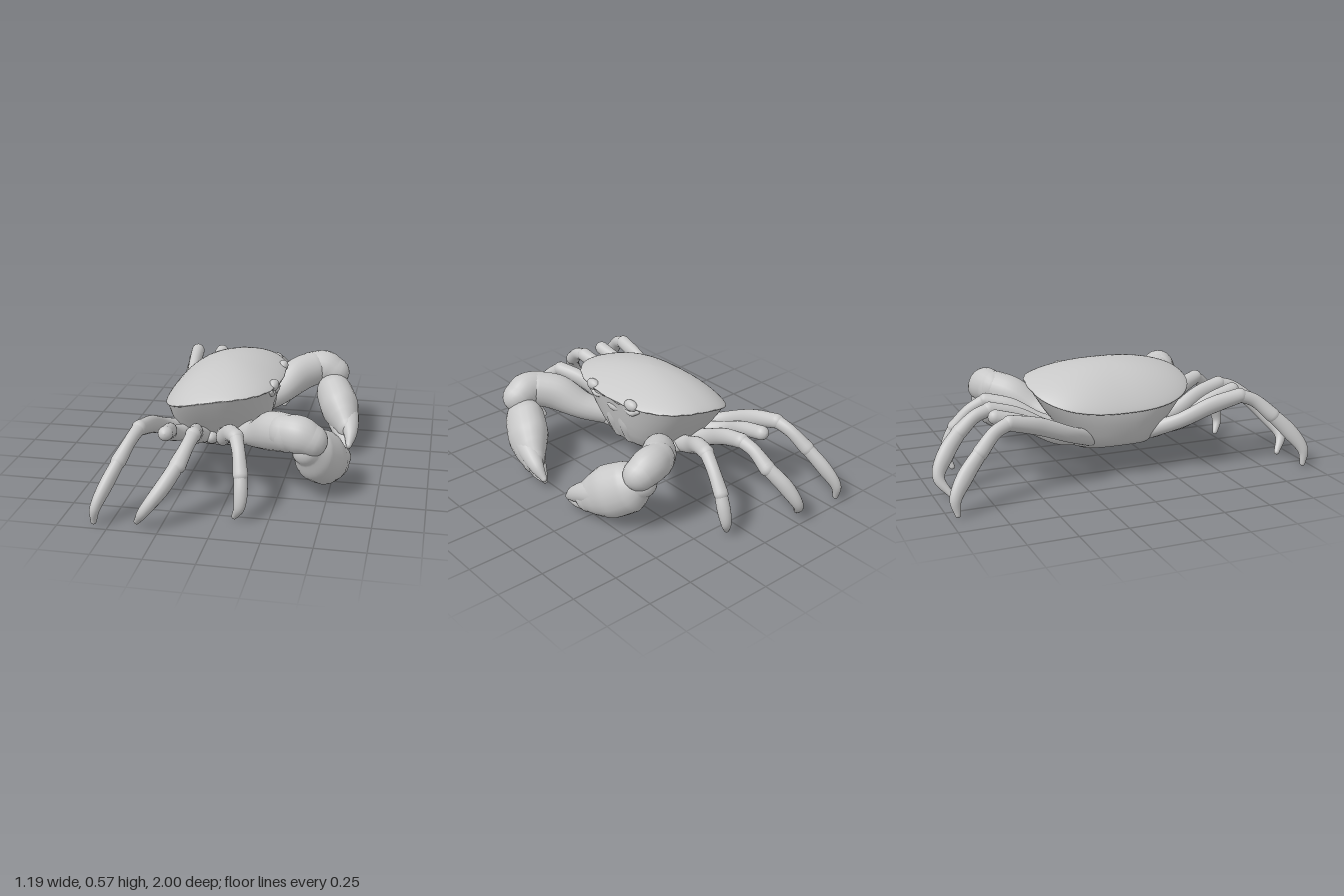
import * as THREE from 'three';

const V = (p) => new THREE.Vector3(p[0], p[1], p[2]);

// Skin a list of closed rings (all the same length) into one smooth surface.
function loft(rings) {
  const n = rings[0].length, pos = [], idx = [];
  rings.forEach((r) => r.forEach((p) => pos.push(p.x, p.y, p.z)));
  for (let i = 0; i < rings.length - 1; i++) {
    for (let j = 0; j < n; j++) {
      const k = (j + 1) % n;
      const a = i * n + j, b = i * n + k, c = a + n, d = b + n;
      idx.push(a, b, d, a, d, c);
    }
  }
  const g = new THREE.BufferGeometry();
  g.setAttribute('position', new THREE.Float32BufferAttribute(pos, 3));
  g.setIndex(idx);
  g.computeVertexNormals();
  return g;
}

// Rounded-end limb. Each point is [x, y, z, radius along ref, radius across].
function limb(points, ref, sides = 20, steps = 8) {
  const path = new THREE.CatmullRomCurve3(points.map(V));
  const radii = new THREE.CatmullRomCurve3(points.map((p) => new THREE.Vector3(p[3], p[4] ?? p[3], 0)));
  const rings = [];
  const ring = (t, scale, push) => {
    const c = path.getPoint(t), dir = path.getTangent(t), r = radii.getPoint(t);
    const u = ref.clone().addScaledVector(dir, -ref.dot(dir)).normalize();
    const v = dir.clone().cross(u);
    c.addScaledVector(dir, push * Math.min(r.x, r.y));
    rings.push(Array.from({ length: sides }, (_, j) => {
      const a = (j / sides) * Math.PI * 2;
      return c.clone().addScaledVector(u, r.x * scale * Math.cos(a)).addScaledVector(v, r.y * scale * Math.sin(a));
    }));
  };
  const n = (points.length - 1) * steps, cap = 5;
  for (let k = 0; k < cap; k++) { const a = (k / cap) * Math.PI / 2; ring(0, Math.sin(a), -Math.cos(a)); }
  for (let i = 0; i <= n; i++) ring(i / n, 1, 0);
  for (let k = cap - 1; k >= 0; k--) { const a = (k / cap) * Math.PI / 2; ring(1, Math.sin(a), Math.cos(a)); }
  return loft(rings);
}

// Rounded-rectangle body ring; height(s) runs from back (s = -1) to front (s = 1).
function bodyRing(xBack, xFront, rz, height, scale = 1, ripple = 0) {
  const e = 2 / 2.5, cx = (xBack + xFront) / 2, rx = (xFront - xBack) / 2;
  const pw = (v) => Math.sign(v) * Math.pow(Math.abs(v), e) * scale;
  return Array.from({ length: 96 }, (_, j) => {
    const a = (j / 96) * Math.PI * 2, s = pw(Math.sin(a)), c = pw(Math.cos(a));
    const k = 1 + ripple * Math.cos(a * 24) * (s > -0.3 ? 1 : 0);
    return new THREE.Vector3(cx + rx * s * k, height(s), rz * c * k);
  });
}
const slope = (back, front, arch = 0) => (s) => back + (front - back) * (s + 1) / 2 + arch * (1 - s * s);

export function createModel() {
  const model = new THREE.Group();
  const grey = new THREE.MeshStandardMaterial({ color: 0xc8c8c8 });
  grey.name = 'shell grey';
  const X = new THREE.Vector3(1, 0, 0), Y = new THREE.Vector3(0, 1, 0);
  const add = (name, geo, parent = model) => {
    const m = new THREE.Mesh(geo, grey);
    m.name = name;
    parent.add(m);
    return m;
  };
  const blob = (name, p, s, parent = model) => {
    const m = add(name, new THREE.SphereGeometry(1, 20, 14), parent);
    m.position.set(...p);
    m.scale.set(...s);
  };

  // Underside: shallow breastplate flaring up to the shell edge
  const plate = slope(0.172, 0.18, -0.032);
  add('underbody', loft([
    bodyRing(-0.35, 0.07, 0.2, plate, 0),
    bodyRing(-0.35, 0.07, 0.2, plate, 0.5),
    bodyRing(-0.35, 0.07, 0.2, plate),
    bodyRing(-0.37, 0.1, 0.235, slope(0.195, 0.205, -0.025)),
    bodyRing(-0.39, 0.13, 0.285, slope(0.245, 0.27, -0.01)),
    bodyRing(-0.405, 0.155, 0.345, slope(0.305, 0.35)),
    bodyRing(-0.41, 0.172, 0.395, slope(0.345, 0.425, 0.02)),
    bodyRing(-0.41, 0.185, 0.425, slope(0.37, 0.478, 0.04)),
  ]));

  // Domed upper shell with a thin rippled rim
  const rim = slope(0.37, 0.485, 0.046);
  const shell = [bodyRing(-0.4, 0.175, 0.415, slope(0.36, 0.465, 0.04)), bodyRing(-0.42, 0.2, 0.44, (s) => rim(s) - 0.004, 1, 0.006)];
  for (let i = 0; i <= 16; i++) {
    const r = Math.cos((i / 16) * Math.PI / 2), h = 0.102 * Math.pow(1 - r * r, 0.8);
    shell.push(bodyRing(-0.42, 0.2, 0.44, (s) => rim(s) + h * (1 - 0.28 * s), r, i ? 0 : 0.006));
  }
  add('upperShell', loft(shell));

  // Ridge above the mouth
  blob('mouthRidge', [0.15, 0.42, 0], [0.03, 0.03, 0.06]);

  for (const s of [1, -1]) {
    const side = new THREE.Group();
    side.name = s > 0 ? 'rightSide' : 'leftSide';
    model.add(side);
    const part = (name, pts, ref) => add(name, limb(pts.map(([x, y, z, ...r]) => [x, y, z * s, ...r]), ref), side);

    // Face
    blob('eye', [0.172, 0.49, 0.16 * s], [0.027, 0.03, 0.045], side);
    blob('browLobe', [0.17, 0.48, 0.06 * s], [0.028, 0.018, 0.045], side);
    part('eyeSocketRidge', [[0.16, 0.465, 0.2, 0.014], [0.162, 0.435, 0.15, 0.014], [0.16, 0.45, 0.09, 0.014]], Y);
    part('mouthpart', [[0.08, 0.22, 0.045, 0.03, 0.04], [0.12, 0.31, 0.05, 0.028, 0.048], [0.142, 0.385, 0.04, 0.018, 0.035]], X);

    // Claw arm, wrist, palm and fingers
    part('clawArm', [[0.0, 0.23, 0.2, 0.06], [0.12, 0.275, 0.32, 0.075, 0.08], [0.22, 0.345, 0.44, 0.103, 0.09], [0.3, 0.367, 0.51, 0.098, 0.09]], Y);
    part('clawWrist', [[0.28, 0.372, 0.51, 0.09, 0.08], [0.36, 0.37, 0.53, 0.098, 0.09], [0.42, 0.345, 0.53, 0.085, 0.085]], Y);
    part('clawPalm', [[0.4, 0.29, 0.525, 0.075, 0.08], [0.428, 0.245, 0.46, 0.104, 0.133], [0.47, 0.19, 0.37, 0.108, 0.14],
      [0.507, 0.143, 0.29, 0.085, 0.113], [0.53, 0.113, 0.235, 0.06, 0.082]], X);
    part('upperFinger', [[0.512, 0.17, 0.31, 0.075, 0.08], [0.54, 0.143, 0.235, 0.055, 0.058], [0.555, 0.105, 0.165, 0.036, 0.042], [0.553, 0.062, 0.11, 0.016, 0.018]], X);
    part('lowerFinger', [[0.492, 0.11, 0.32, 0.078, 0.075], [0.515, 0.078, 0.24, 0.058, 0.048], [0.533, 0.055, 0.17, 0.038, 0.032], [0.543, 0.042, 0.118, 0.016, 0.014]], X);

    // Walking legs from rear to front: thigh, knuckle and clawed shin; the second is a short stub
    part('rearThigh', [[-0.3, 0.22, 0.17, 0.045], [-0.385, 0.28, 0.31, 0.032, 0.042], [-0.41, 0.35, 0.48, 0.035, 0.046], [-0.425, 0.392, 0.64, 0.038, 0.04]], X);
    part('rearKnuckle', [[-0.425, 0.392, 0.64, 0.034, 0.036], [-0.445, 0.36, 0.72, 0.031, 0.035], [-0.485, 0.28, 0.81, 0.038, 0.04]], X);
    part('rearShin', [[-0.48, 0.29, 0.8, 0.032, 0.036], [-0.525, 0.19, 0.895, 0.034, 0.042], [-0.565, 0.09, 0.96, 0.026, 0.03], [-0.577, 0.018, 0.955, 0.015, 0.015]], X);

    part('stubLeg', [[-0.24, 0.21, 0.18, 0.045], [-0.325, 0.26, 0.36, 0.032, 0.042], [-0.3, 0.34, 0.52, 0.035, 0.04], [-0.283, 0.385, 0.67, 0.038, 0.038]], X);

    const hook = s > 0 ? 0 : 0.055;
    part('middleThigh', [[-0.15, 0.21, 0.18, 0.05], [-0.19, 0.26, 0.36, 0.035, 0.045], [-0.165, 0.34, 0.52, 0.035, 0.046], [-0.145, 0.385, 0.66, 0.04, 0.04]], X);
    part('middleKnuckle', [[-0.145, 0.385, 0.66, 0.036, 0.036], [-0.155, 0.36, 0.74, 0.034, 0.035], [-0.185 + hook * 0.3, 0.29, 0.83, 0.043, 0.04]], X);
    part('middleShin', [[-0.18 + hook * 0.3, 0.3, 0.82, 0.036, 0.038], [-0.24 + hook * 0.4, 0.205, 0.912, 0.038, 0.044],
      [-0.32 + hook, 0.1, 0.967, 0.028, 0.031], [-0.37 + hook, 0.02, 0.92, 0.015, 0.015]], X);

    const reach = s > 0 ? 0 : 0.035;
    part('frontThigh', [[-0.07, 0.21, 0.18, 0.05], [-0.06, 0.26, 0.36, 0.038, 0.048], [0.005, 0.34, 0.5, 0.04, 0.046], [0.06, 0.375, 0.62, 0.04, 0.038]], X);
    part('frontKnuckle', [[0.06, 0.375, 0.62, 0.036, 0.036], [0.088, 0.32, 0.69 + reach * 0.4, 0.033, 0.033], [0.108, 0.23, 0.75 + reach, 0.038, 0.035]], X);
    part('frontShin', [[0.106, 0.245, 0.74 + reach, 0.032, 0.032], [0.115, 0.16, 0.78 + reach, 0.035, 0.034],
      [0.112, 0.08, 0.8 + reach, 0.028, 0.026], [0.083, 0.018, 0.775 + reach, 0.015, 0.015]], X);

    // Hip joints along the breastplate edge
    [[-0.29, 0.19], [-0.22, 0.22], [-0.14, 0.23], [-0.05, 0.23], [0.03, 0.21]].forEach(([x, z], i) =>
      blob('hipJoint' + i, [x, 0.22, z * s], [0.045, 0.047, 0.09], side));
  }
  return model;
}
